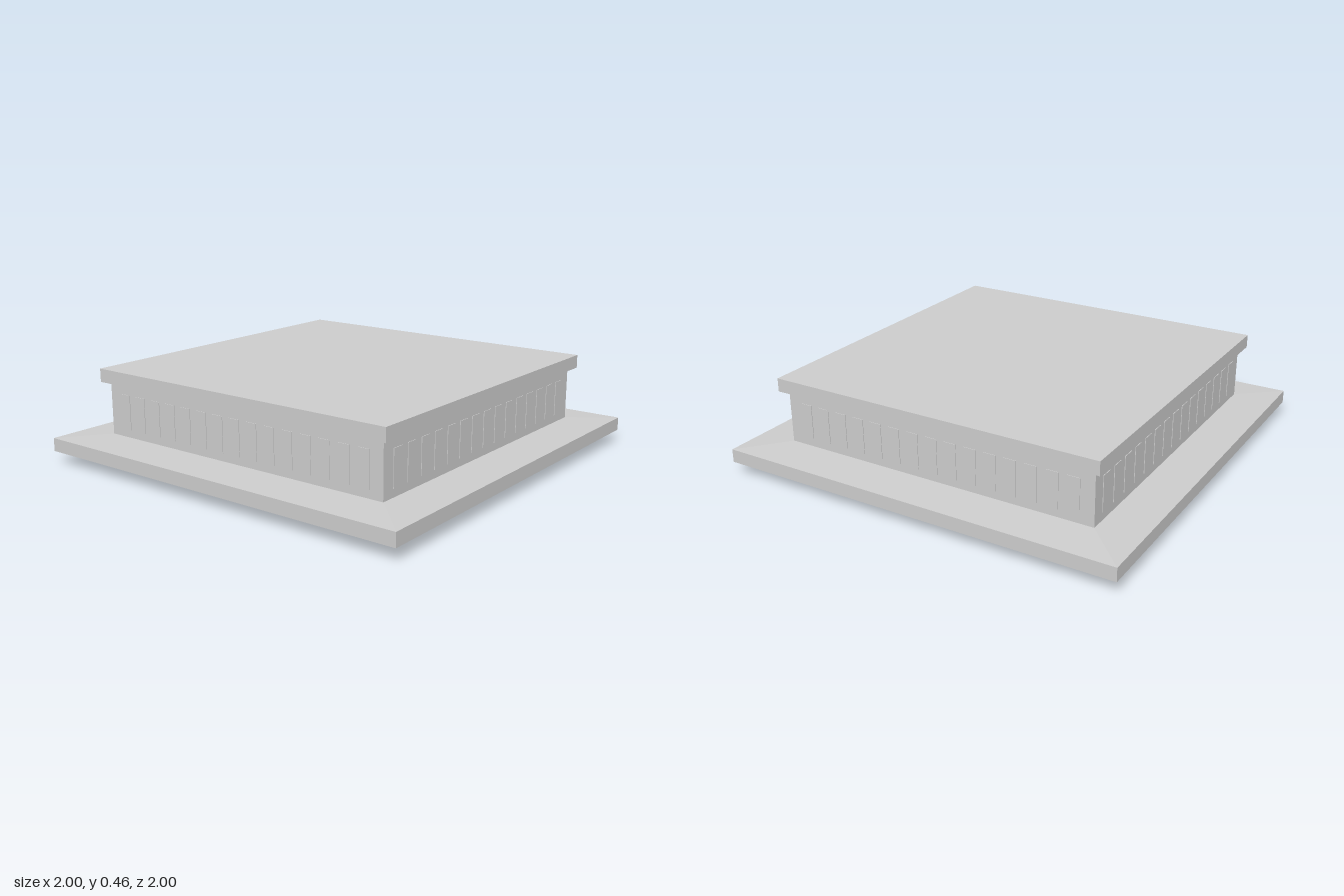
import * as THREE from 'three';

const material = new THREE.MeshStandardMaterial({ color: 0xcccccc, flatShading: true });

function addBox(parent, name, w, h, d, x, y, z) {
  const mesh = new THREE.Mesh(new THREE.BoxGeometry(w, h, d), material);
  mesh.name = name;
  mesh.position.set(x, y, z);
  parent.add(mesh);
  return mesh;
}

export function createModel() {
  const group = new THREE.Group();
  group.name = 'squarePavilion';

  // Square base: shallow pyramid below, upright rim, gently sloping top
  const r = Math.SQRT2;
  const profile = [[0, 0], [r, 0.06], [r, 0.125], [0, 0.185]]
    .map(([x, y]) => new THREE.Vector2(x, y));
  const base = new THREE.Mesh(new THREE.LatheGeometry(profile, 4, Math.PI / 4), material);
  base.name = 'base';
  group.add(base);

  // Walls and overhanging roof slab
  addBox(group, 'walls', 1.596, 0.285, 1.596, 0, 0.2575, 0);
  addBox(group, 'roof', 1.664, 0.065, 1.664, 0, 0.4275, 0);

  // Rows of thin, slightly raised window panels on all four walls
  const count = 15;
  for (let side = 0; side < 4; side++) {
    const row = new THREE.Group();
    row.name = 'windowRow';
    row.rotation.y = side * Math.PI / 2;
    for (let i = 0; i < count; i++) {
      const x = (i - (count - 1) / 2) * 0.1;
      addBox(row, 'windowPanel', 0.06, 0.17, 0.006, x, 0.26, 0.798);
    }
    group.add(row);
  }
  return group;
}
